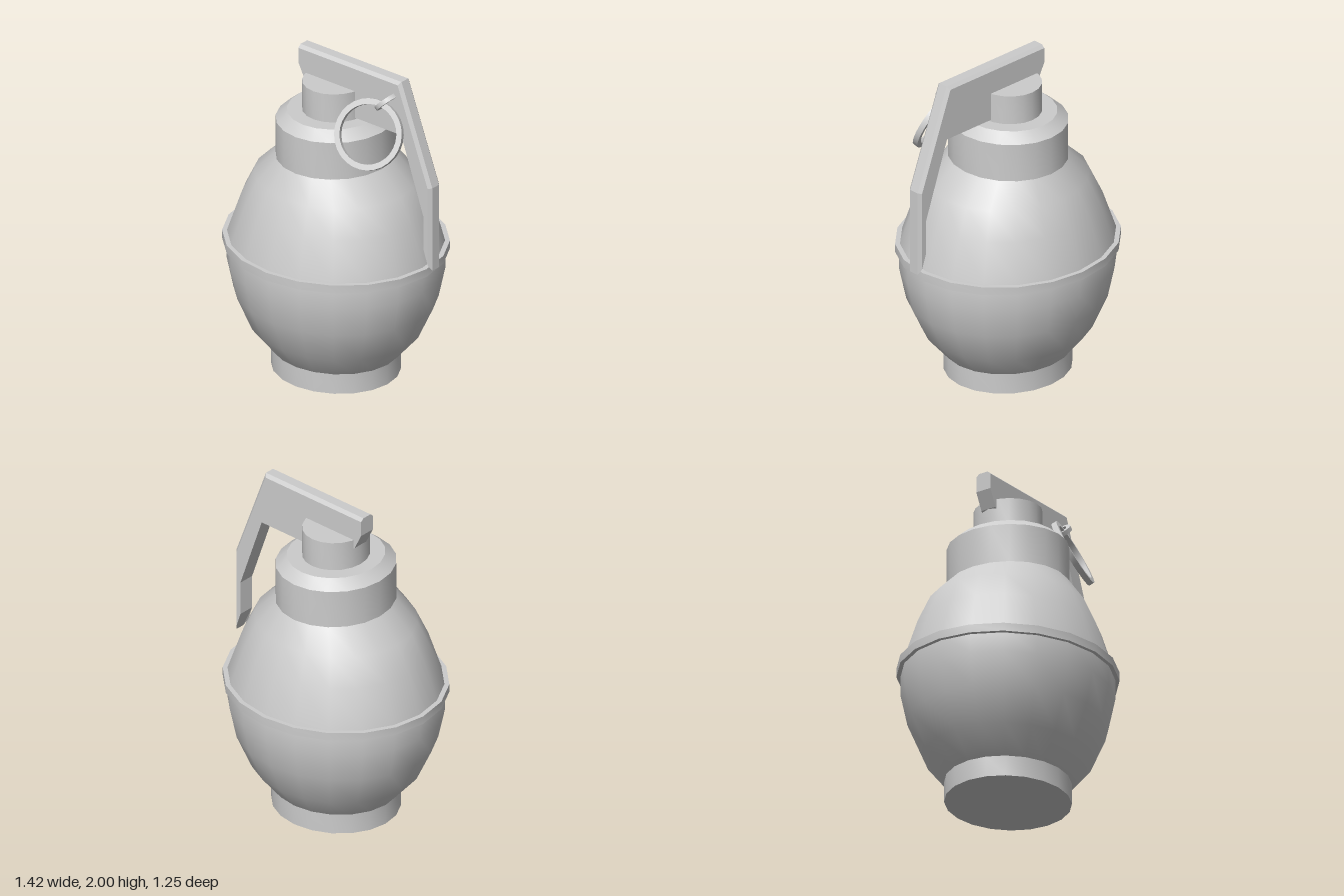
import * as THREE from 'three';
import { toCreasedNormals } from 'three/addons/utils/BufferGeometryUtils.js';

const material = new THREE.MeshStandardMaterial({ color: 0xcccccc });
const AXIS_X = -0.035; // vertical axis of the body

function addMesh(parent, name, geometry) {
  const mesh = new THREE.Mesh(geometry, material);
  mesh.name = name;
  parent.add(mesh);
  return mesh;
}

// Turned part with an oval section; each ring is [y, x radius, z radius]
function oval(parent, name, rings) {
  const geo = new THREE.LatheGeometry(rings.map(([y, rx]) => new THREE.Vector2(rx, y)), 20);
  const pos = geo.attributes.position;
  for (let i = 0; i < pos.count; i++) {
    const [, rx, rz] = rings[i % rings.length];
    if (rx > 0) pos.setZ(i, pos.getZ(i) * rz / rx);
  }
  addMesh(parent, name, toCreasedNormals(geo, 0.53)).position.x = AXIS_X;
}

// Closed disc with vertical walls
function disc(parent, name, y0, y1, rx, rz) {
  oval(parent, name, [[y0, 0, 0], [y0, rx, rz], [y1, rx, rz], [y1, 0, 0]]);
}

// Ring of square section facing along a normal
function squareRing(parent, name, outer, width, center, normal, segments) {
  const inner = outer - width, h = width / 2;
  const profile = [[inner, -h], [outer, -h], [outer, h], [inner, h], [inner, -h]];
  const geo = new THREE.LatheGeometry(profile.map(([x, y]) => new THREE.Vector2(x, y)), segments);
  const mesh = addMesh(parent, name, toCreasedNormals(geo, 0.6));
  mesh.position.set(...center);
  mesh.quaternion.setFromUnitVectors(
    new THREE.Vector3(0, 1, 0), new THREE.Vector3(...normal).normalize());
}

// Bent lever plate whose outer edge is chamfered on both sides
function leverGeometry() {
  // x, y, and the chamfer shift of the outer corners
  const outline = [
    [-0.275, 2.0, 0, -0.018], [-0.275, 1.89, 0, 0], [-0.225, 1.79, 0, 0],
    [-0.12, 1.67, 0, 0], [0.495, 1.67, 0, 0], [0.66, 1.2, 0, 0], [0.66, 0.99, 0, 0],
    [0.71, 0.86, -0.018, 0.035], [0.71, 1.39, -0.018, -0.003], [0.48, 2.0, -0.013, -0.018],
  ];
  const shape = new THREE.Shape(outline.map(([x, y]) => new THREE.Vector2(x, y)));
  const geo = new THREE.ExtrudeGeometry(shape, { depth: 3, steps: 3, bevelEnabled: false });
  const layers = [-0.05, -0.03, 0.03, 0.05];
  const pos = geo.attributes.position;
  for (let i = 0; i < pos.count; i++) {
    const x = pos.getX(i), y = pos.getY(i), layer = Math.round(pos.getZ(i));
    const corner = outline.find((p) => Math.hypot(p[0] - x, p[1] - y) < 1e-4);
    const chamfer = corner && (layer === 0 || layer === 3);
    pos.setXYZ(i, x + (chamfer ? corner[2] : 0), y + (chamfer ? corner[3] : 0), layers[layer]);
  }
  geo.computeVertexNormals();
  return geo;
}

export function createModel() {
  const model = new THREE.Group();
  model.name = 'grenade';

  // Body
  disc(model, 'base', 0, 0.125, 0.385, 0.358);
  oval(model, 'body', [
    [0.125, 0.385, 0.358], [0.275, 0.515, 0.475], [0.48, 0.61, 0.56], [0.67, 0.65, 0.6],
    [0.81, 0.65, 0.6], [0.84, 0.645, 0.595], [1.07, 0.565, 0.522],
    [1.235, 0.485, 0.45], [1.37, 0.34, 0.36],
  ]);
  disc(model, 'seamBand', 0.785, 0.835, 0.675, 0.623);

  // Fuse
  oval(model, 'collar', [
    [1.37, 0, 0], [1.37, 0.34, 0.36], [1.605, 0.34, 0.36], [1.66, 0.275, 0.295], [1.66, 0, 0],
  ]);
  disc(model, 'neck', 1.66, 1.84, 0.19, 0.203);

  // Lever, pull ring and the small loop that holds it
  addMesh(model, 'lever', leverGeometry());
  squareRing(model, 'pullRing', 0.208, 0.033, [0.357, 1.68, 0.175], [0.3, 0.5, 1], 28);
  squareRing(model, 'ringLoop', 0.08, 0.026, [0.39, 1.855, 0.05], [1, -1, 0], 16);

  return model;
}
